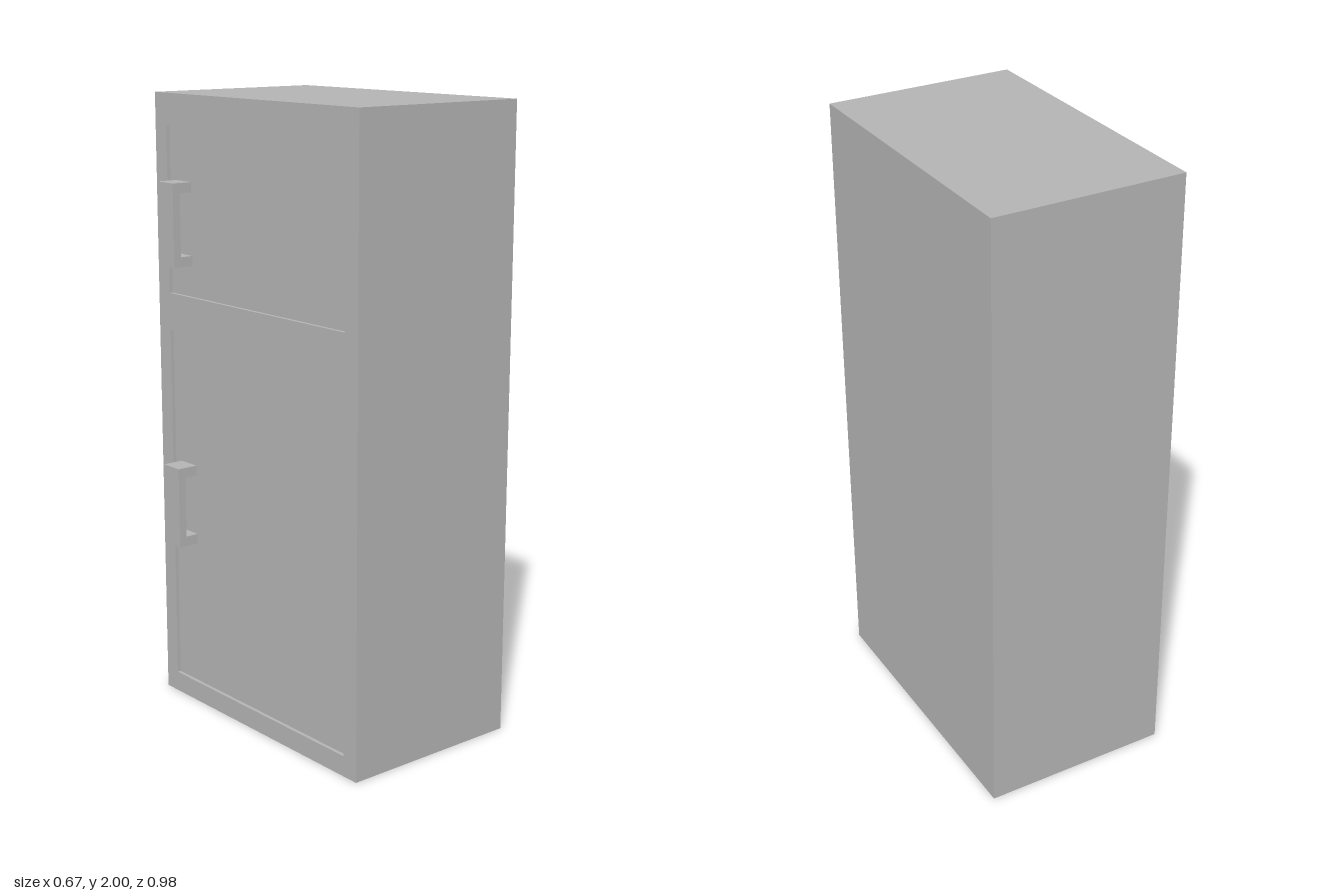
import * as THREE from 'three';

const BACK = 0.337, FACE = -0.279, RECESS = 0.012, HALF = 0.49, HEIGHT = 2;

// Closed rectangle from two opposite corners
function rect(Type, x0, y0, x1, y1) {
  const p = new Type();
  p.moveTo(x0, y0);
  p.lineTo(x1, y0);
  p.lineTo(x1, y1);
  p.lineTo(x0, y1);
  p.closePath();
  return p;
}

export function createModel() {
  const group = new THREE.Group();
  const grey = new THREE.MeshStandardMaterial({ color: 0xb4b4b4 });
  grey.name = 'cabinetGrey';

  const add = (name, geometry) => {
    const mesh = new THREE.Mesh(geometry, grey);
    mesh.name = name;
    group.add(mesh);
    return mesh;
  };

  // Cabinet; its -x side is the floor of the door recesses
  const floor = FACE + RECESS;
  const cabinet = add('cabinet', new THREE.BoxGeometry(BACK - floor, HEIGHT, HALF * 2));
  cabinet.position.set((BACK + floor) / 2, HEIGHT / 2, 0);

  // Door surround with two rectangular openings, drawn in z and y, extruded towards -x
  const surround = rect(THREE.Shape, -HALF, 0, HALF, HEIGHT);
  for (const [bottom, top] of [[0.066, 1.245], [1.367, 1.9]]) {
    surround.holes.push(rect(THREE.Path, -0.432, bottom, 0.432, top));
  }
  const frame = add('doorSurround', new THREE.ExtrudeGeometry(surround, { depth: RECESS, bevelEnabled: false }));
  frame.rotation.y = -Math.PI / 2;
  frame.position.x = floor;

  // C-shaped handles, one on each door
  for (const [name, y] of [['lowerHandle', 0.549], ['upperHandle', 1.466]]) {
    const bracket = new THREE.Shape([
      [floor, 0], [floor, 0.032], [-0.311, 0.032], [-0.311, 0.232],
      [floor, 0.232], [floor, 0.264], [-0.337, 0.264], [-0.337, 0],
    ].map(([x, h]) => new THREE.Vector2(x, h)));
    const handle = add(name, new THREE.ExtrudeGeometry(bracket, { depth: 0.08, bevelEnabled: false }));
    handle.position.set(0, y, -0.4);
  }

  return group;
}
